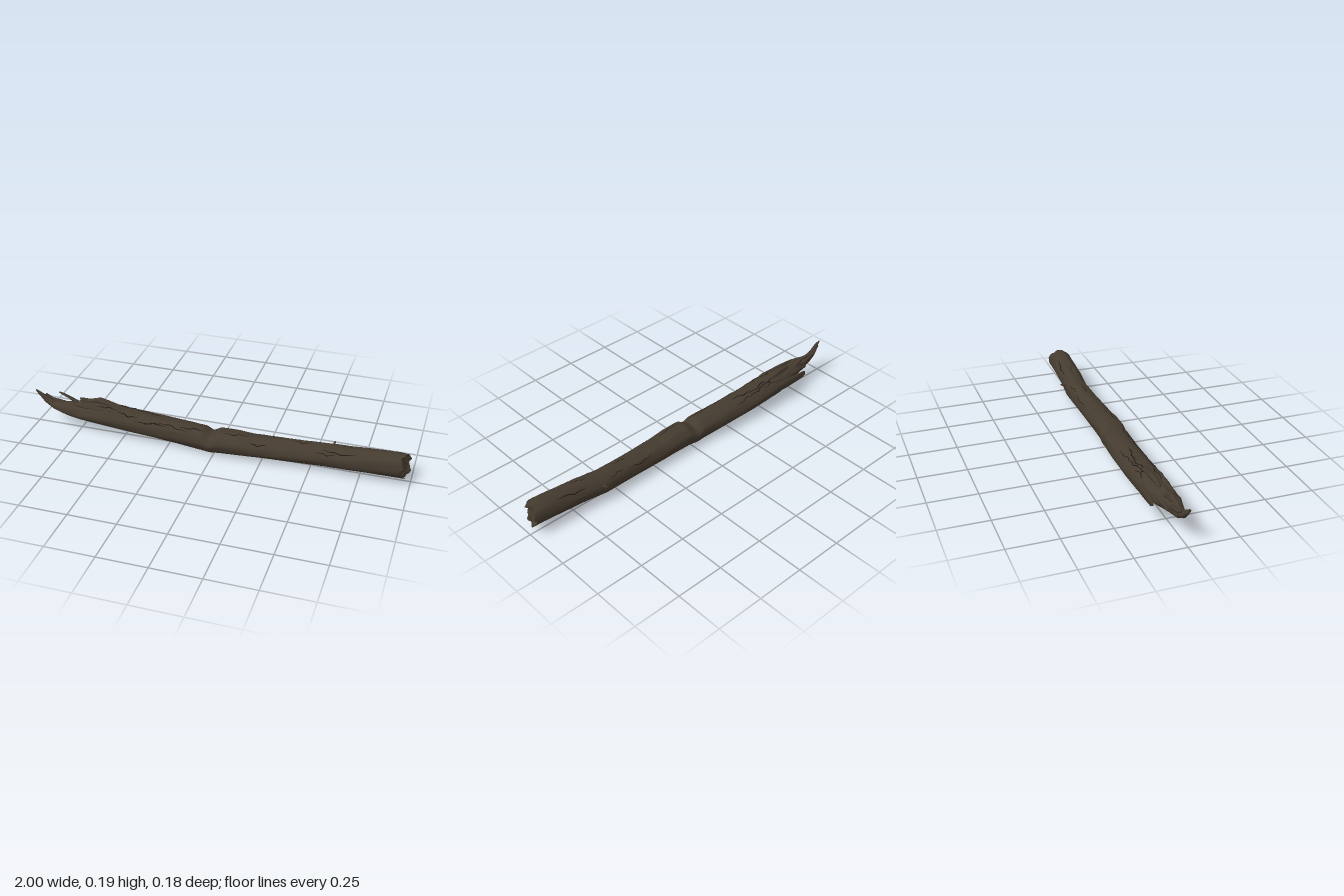
import * as THREE from 'three';

// Cross-sections along the log: x, bottom y, top y, back z, front z
const STATIONS = [
  [-0.985, 0.162, 0.178, -0.005, 0.008], [-0.95, 0.122, 0.158, -0.014, 0.015],
  [-0.9, 0.093, 0.138, -0.02, 0.026], [-0.85, 0.081, 0.142, -0.026, 0.04],
  [-0.8, 0.072, 0.15, -0.036, 0.053], [-0.74, 0.062, 0.147, -0.055, 0.058],
  [-0.68, 0.056, 0.152, -0.07, 0.062], [-0.6, 0.048, 0.16, -0.083, 0.065],
  [-0.4, 0.031, 0.145, -0.08, 0.066], [-0.2, 0.015, 0.137, -0.07, 0.069],
  [-0.06, 0.006, 0.131, -0.06, 0.08], [-0.02, 0.005, 0.108, -0.057, 0.084],
  [0.025, 0.007, 0.136, -0.055, 0.085], [0.12, 0.012, 0.134, -0.055, 0.086],
  [0.2, 0.015, 0.125, -0.056, 0.081], [0.4, 0.02, 0.13, -0.058, 0.07],
  [0.58, 0.025, 0.138, -0.061, 0.064], [0.7, 0.032, 0.15, -0.05, 0.074],
  [0.85, 0.037, 0.163, -0.043, 0.076], [0.93, 0.04, 0.168, -0.04, 0.078],
  [1, 0.042, 0.162, -0.037, 0.076],
];

function section(x) {
  let i = 0;
  while (i < STATIONS.length - 2 && x > STATIONS[i + 1][0]) i++;
  const a = STATIONS[i], b = STATIONS[i + 1];
  const t = THREE.MathUtils.clamp((x - a[0]) / (b[0] - a[0]), 0, 1);
  return a.map((v, k) => v + (b[k] - v) * t);
}

// Point on the weathered surface; angle 0 faces front, a quarter turn faces up
function surface(x, a, scale = 1) {
  const [, y0, y1, z0, z1] = section(x);
  const up = Math.max(0, Math.sin(a));
  const rough = 1 + 0.022 * Math.sin(3 * a + 5 * x) + 0.014 * Math.sin(7 * a - 11 * x + 1)
    + up * 0.025 * Math.sin(13 * a + 17 * x) * Math.sin(23 * x + 4 * a)
    + (x < -0.45 ? up * 0.06 * Math.sin(9 * a + 31 * x) * Math.sin(47 * x - 3 * a) : 0);
  const r = rough * scale;
  return new THREE.Vector3(x, (y0 + y1) / 2 + Math.sin(a) * r * (y1 - y0) / 2,
    (z0 + z1) / 2 + Math.cos(a) * r * (z1 - z0) / 2);
}

// Skin a list of closed rings ordered along +x
function loft(rings) {
  const n = rings[0].length, index = [];
  for (let i = 0; i < rings.length - 1; i++) {
    for (let j = 0; j < n; j++) {
      const k = (j + 1) % n;
      const a = i * n + j, b = a + n, c = (i + 1) * n + k, d = i * n + k;
      index.push(a, b, c, a, c, d);
    }
  }
  const g = new THREE.BufferGeometry().setFromPoints(rings.flat());
  g.setIndex(index);
  g.computeVertexNormals();
  return g;
}

const ring = (n, f) => Array.from({ length: n }, (_, j) => f(j / n * Math.PI * 2));

// Tapered splinter through [x, y, z, half height, half depth] points
function splinterGeometry(points) {
  const rings = points.map(([x, y, z, ry, rz]) => ring(8, a => new THREE.Vector3(
    x + 0.004 * Math.sin(3 * a), y + Math.sin(a) * ry, z + Math.cos(a) * rz)));
  const cap = ([x, y, z]) => ring(8, () => new THREE.Vector3(x, y, z));
  return loft([cap(points[0]), ...rings, cap(points[points.length - 1])]);
}

// Thin tapering strip lying on the surface
function crackGeometry(x0, x1, a0, width, phase) {
  const pts = [], index = [], n = 16;
  for (let i = 0; i <= n; i++) {
    const t = i / n, x = x0 + (x1 - x0) * t;
    const a = a0 + 0.09 * Math.sin(t * 7 + phase) + 0.04 * Math.sin(t * 19 + phase);
    const w = width * Math.sin(Math.PI * t);
    pts.push(surface(x, a - w, 1.015), surface(x, a + w, 1.015));
    if (i) index.push(2 * i - 2, 2 * i, 2 * i + 1, 2 * i - 2, 2 * i + 1, 2 * i - 1);
  }
  const g = new THREE.BufferGeometry().setFromPoints(pts);
  g.setIndex(index);
  g.computeVertexNormals();
  return g;
}

export function createModel() {
  const model = new THREE.Group();
  model.name = 'fallenLog';
  const wood = new THREE.MeshStandardMaterial({ name: 'dark brown wood', color: 0x453b2f });
  const crackMat = new THREE.MeshStandardMaterial({ name: 'deep crack', color: 0x1d1813, side: THREE.DoubleSide });
  const add = (name, geometry, material = wood, parent = model) => {
    const mesh = new THREE.Mesh(geometry, material);
    mesh.name = name;
    parent.add(mesh);
    return mesh;
  };

  // Trunk with a slanted, ragged break at the thick end
  const SIDES = 40, ROWS = 180, rings = [];
  rings.push(ring(SIDES, () => new THREE.Vector3(-0.988, 0.171, 0.001)));
  for (let i = 0; i <= ROWS; i++) {
    const x = -0.985 + 1.915 * i / ROWS;
    rings.push(ring(SIDES, a => surface(x, a)));
  }
  const rim = a => {
    const p = surface(0.96, a);
    p.x = 0.972 - 0.26 * (p.z - 0.01) - 0.1 * (p.y - 0.1) + 0.006 * Math.sin(5 * a) + 0.004 * Math.sin(11 * a);
    return p;
  };
  rings.push(ring(SIDES, rim));
  add('trunk', loft(rings));

  // Uneven broken face closing the thick end
  const face = [1, 0.9, 0.7, 0.5, 0.3, 0.12, 0].map(s => ring(SIDES, a => {
    const p = rim(a).lerp(new THREE.Vector3(0.968, 0.103, 0.019), 1 - s);
    p.x += s < 1 ? s * (0.008 * Math.sin(3 * a + 9 * s) + 0.005 * Math.sin(7 * a - 14 * s)) - 0.008 * (1 - s) : 0;
    return p;
  }));
  add('brokenFace', loft(face));

  // Splintered thin end
  const splinters = new THREE.Group();
  splinters.name = 'splinters';
  model.add(splinters);
  const shapes = {
    tipSplinter: [[-1, 0.19, 0.004, 0.003, 0.003], [-0.98, 0.174, 0.006, 0.01, 0.008],
      [-0.94, 0.145, 0.002, 0.014, 0.012], [-0.88, 0.12, 0, 0.014, 0.016]],
    forkSplinter: [[-0.955, 0.163, -0.016, 0.004, 0.004], [-0.92, 0.14, -0.014, 0.009, 0.008],
      [-0.84, 0.122, -0.014, 0.016, 0.014]],
    thinSplinter: [[-0.885, 0.176, -0.034, 0.003, 0.003], [-0.86, 0.169, -0.03, 0.006, 0.006],
      [-0.82, 0.16, -0.022, 0.007, 0.007], [-0.77, 0.138, -0.015, 0.012, 0.012]],
    sideSplinter: [[-0.85, 0.112, -0.036, 0.005, 0.004], [-0.81, 0.112, -0.034, 0.014, 0.008],
      [-0.74, 0.11, -0.036, 0.024, 0.016]],
    barkFlap: [[-0.79, 0.118, -0.083, 0.01, 0.004], [-0.77, 0.114, -0.082, 0.02, 0.007],
      [-0.71, 0.112, -0.08, 0.024, 0.009], [-0.64, 0.108, -0.076, 0.028, 0.011], [-0.54, 0.1, -0.066, 0.02, 0.01]],
    topRidge: [[-0.715, 0.158, -0.022, 0.005, 0.008], [-0.69, 0.165, -0.022, 0.009, 0.014],
      [-0.65, 0.17, -0.024, 0.015, 0.018], [-0.61, 0.163, -0.022, 0.013, 0.02], [-0.52, 0.148, -0.018, 0.008, 0.014]],
    edgeSliver: [[-0.78, 0.15, 0.022, 0.004, 0.005], [-0.72, 0.146, 0.024, 0.01, 0.011],
      [-0.6, 0.145, 0.026, 0.012, 0.014], [-0.5, 0.138, 0.024, 0.007, 0.01]],
  };
  for (const [name, points] of Object.entries(shapes)) add(name, splinterGeometry(points), wood, splinters);

  // Twig stub on the back
  const twig = add('twigStub', new THREE.CylinderGeometry(0.004, 0.009, 0.035, 8));
  twig.position.set(0.6, 0.105, -0.067);
  twig.rotation.x = -1.2;

  // Weathering cracks: denser on top and toward the thin end
  let seed = 7;
  const rand = () => (seed = (seed * 16807) % 2147483647) / 2147483647;
  const cracks = new THREE.Group();
  cracks.name = 'cracks';
  model.add(cracks);
  for (let i = 0; i < 24; i++) {
    const x0 = i < 14 ? -0.82 + 0.55 * rand() : -0.2 + 0.95 * rand();
    add('crack', crackGeometry(x0, x0 + 0.08 + 0.12 * rand(), 0.6 + 2 * rand(), 0.025 + 0.025 * rand(), 6 * rand()),
      crackMat, cracks);
  }
  return model;
}
